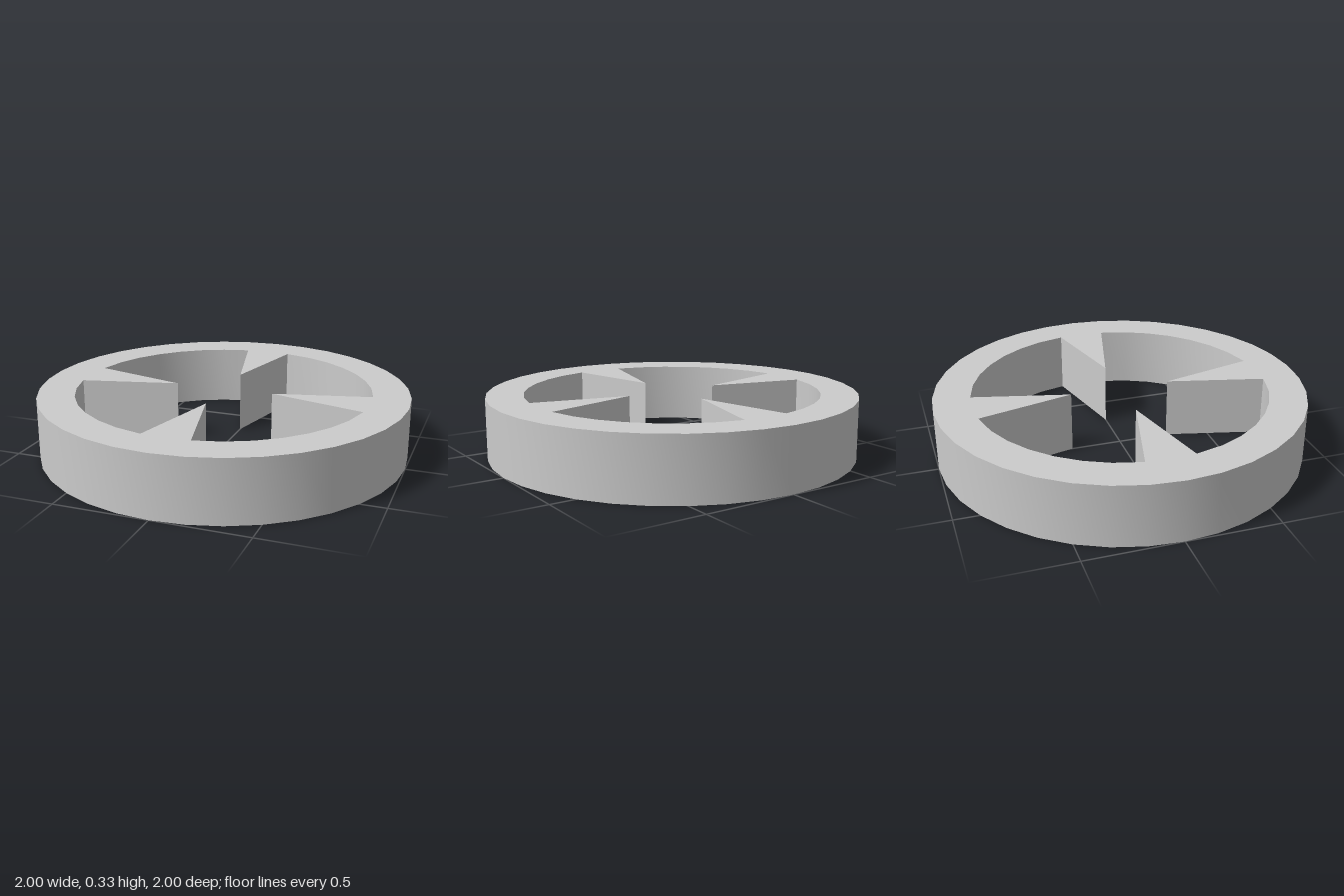
import * as THREE from 'three';
import { toCreasedNormals } from 'three/addons/utils/BufferGeometryUtils.js';

const HEIGHT = 0.33, OUTER = 1, INNER = 0.8, TIP = 0.272;

// Point on a circle, angle in degrees
const polar = (r, deg) => {
  const a = THREE.MathUtils.degToRad(deg);
  return new THREE.Vector2(r * Math.cos(a), r * Math.sin(a));
};

export function createModel() {
  const group = new THREE.Group();
  group.name = 'spokedRing';

  // Outer rim: 36 sides
  const rim = [];
  for (let i = 0; i < 36; i++) rim.push(polar(OUTER, i * 10));

  // Opening: in each quarter a wedge tip, then the inner arc up to the next wedge
  const opening = [];
  for (let q = 0; q < 360; q += 90) {
    opening.push(polar(TIP, q), polar(INNER, q + 9.2));
    for (let a = 20; a <= 70; a += 10) opening.push(polar(INNER, q + a));
    opening.push(polar(INNER, q + 80.8));
  }

  const shape = new THREE.Shape(rim);
  shape.holes.push(new THREE.Path(opening.reverse()));

  // Extrude upward; smooth around the arcs, sharp at the wedges and caps
  const solid = new THREE.ExtrudeGeometry(shape, { depth: HEIGHT, bevelEnabled: false });
  solid.rotateX(-Math.PI / 2);
  const ring = new THREE.Mesh(
    toCreasedNormals(solid, 0.5),
    new THREE.MeshStandardMaterial({ color: 0xcccccc })
  );
  ring.name = 'ringWithInnerWedges';
  group.add(ring);
  return group;
}
